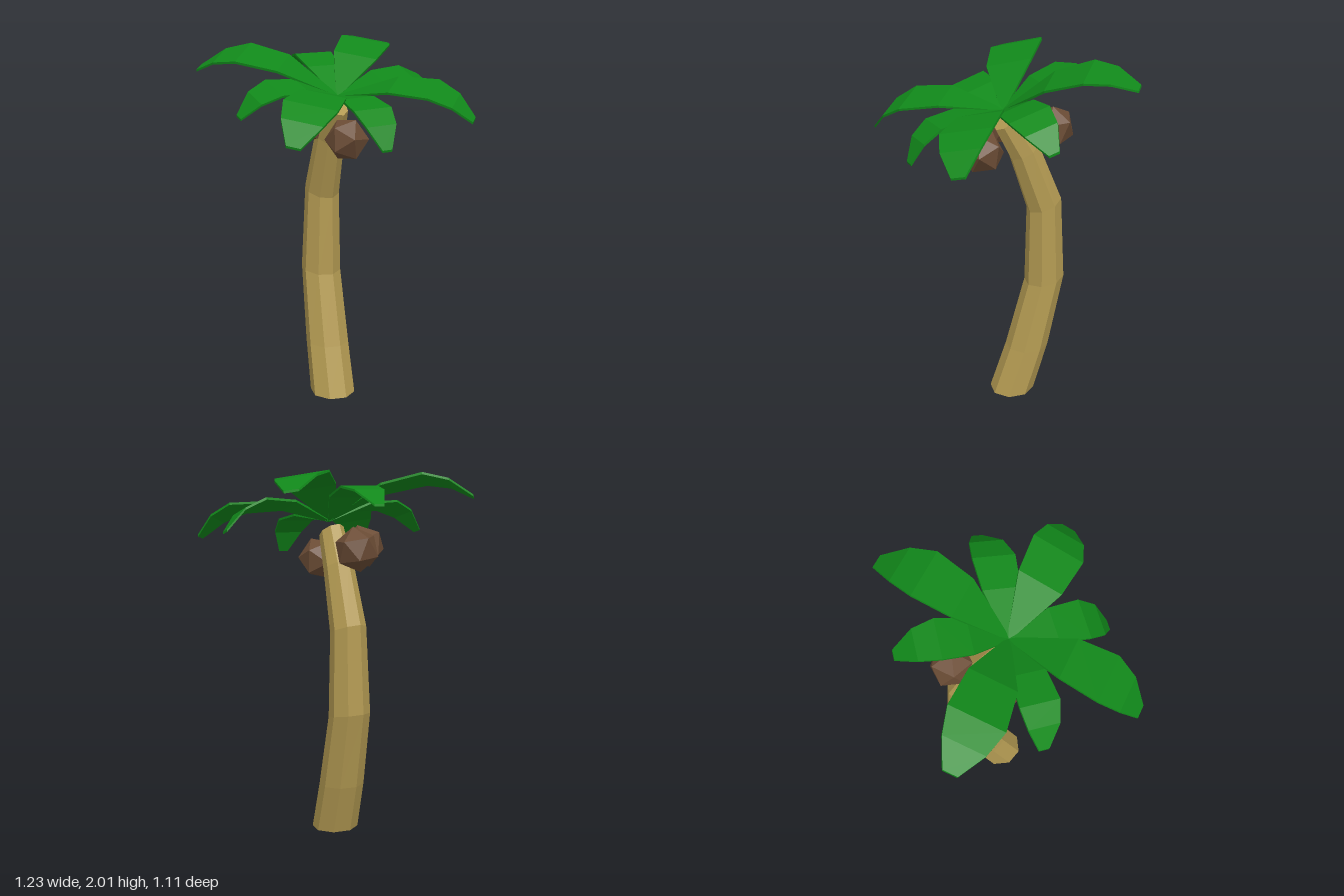
import * as THREE from 'three';

const material = (color) => new THREE.MeshStandardMaterial({ color, flatShading: true });

// Skin a list of equal-sized rings and close both ends
function loft(rings) {
  const n = rings[0].length;
  const index = [];
  for (let r = 0; r < rings.length - 1; r++) {
    for (let i = 0; i < n; i++) {
      const a = r * n + i, b = r * n + (i + 1) % n;
      index.push(a, b, b + n, a, b + n, a + n);
    }
  }
  const last = (rings.length - 1) * n;
  for (let i = 1; i < n - 1; i++) {
    index.push(0, i + 1, i, last, last + i, last + i + 1);
  }
  const geometry = new THREE.BufferGeometry();
  geometry.setAttribute('position', new THREE.Float32BufferAttribute(rings.flat(2), 3));
  geometry.setIndex(index);
  const flat = geometry.toNonIndexed();
  flat.computeVertexNormals();
  return flat;
}

// Eight-sided ring, sloping up towards the back
function trunkRing([x, y, z, radius, slope]) {
  return Array.from({ length: 8 }, (_, i) => {
    const a = (i / 8) * Math.PI * 2 + 0.16;
    const dz = Math.cos(a) * radius;
    return [x + Math.sin(a) * radius, y - dz * slope, z + dz];
  });
}

// Thin frond growing along +z; each section is [distance, height, width]
function frondGeometry(sections) {
  return loft(sections.map(([z, y, width]) => {
    const w = width / 2, t = 0.006;
    return [[-w, y - t, z], [w, y - t, z], [w, y + t, z], [-w, y + t, z]];
  }));
}

export function createModel() {
  const palm = new THREE.Group();
  palm.name = 'palmTree';

  // Curved trunk: x, y, z, radius, slope
  const trunk = new THREE.Mesh(loft([
    [0, 0.006, -0.06, 0.127, 0.04],
    [0.015, 0.285, -0.15, 0.122, 0.04],
    [0.03, 0.70, -0.25, 0.112, 0.18],
    [0.033, 1.165, -0.24, 0.096, 0.38],
    [0.018, 1.49, -0.12, 0.08, 0.5],
    [0, 1.67, -0.02, 0.066, 0.66],
  ].map(trunkRing)), material(0xb39a52));
  trunk.name = 'trunk';
  palm.add(trunk);

  // Crown of alternating short and long fronds, tilted forwards
  const crown = new THREE.Group();
  crown.name = 'crown';
  crown.position.set(0, 1.735, 0);
  crown.rotation.set(0.28, 0, 0.05);
  const shortFrond = frondGeometry([
    [0, -0.01, 0.02], [0.22, 0.07, 0.19], [0.385, 0.08, 0.215],
    [0.49, 0.035, 0.17], [0.575, -0.06, 0.055],
  ]);
  const longFrond = frondGeometry([
    [0, -0.01, 0.02], [0.295, 0.115, 0.245], [0.51, 0.135, 0.285],
    [0.635, 0.095, 0.215], [0.745, 0.01, 0.075],
  ]);
  const leafGreen = material(0x11881a);
  const angles = [-2, 45, 85, 135, 174, 229, 270, 315];
  angles.forEach((angle, i) => {
    const frond = new THREE.Mesh(i % 2 ? longFrond : shortFrond, leafGreen);
    frond.name = i % 2 ? 'longFrond' : 'shortFrond';
    frond.rotation.y = THREE.MathUtils.degToRad(angle);
    if (angle === 229) frond.scale.setScalar(1.05);
    if (angle === 85) frond.scale.setScalar(1.06);
    crown.add(frond);
  });
  palm.add(crown);

  // Coconuts hanging below the crown
  const nut = new THREE.IcosahedronGeometry(0.12, 0);
  const nutBrown = material(0x6b4c35);
  [[-0.01, 1.51, 0.115], [-0.17, 1.585, -0.08], [0.02, 1.595, -0.3]].forEach(([x, y, z], i) => {
    const coconut = new THREE.Mesh(nut, nutBrown);
    coconut.name = 'coconut';
    coconut.position.set(x, y, z);
    coconut.rotation.set(0.4 + i, 0.7 * i, 0.3);
    palm.add(coconut);
  });

  return palm;
}
